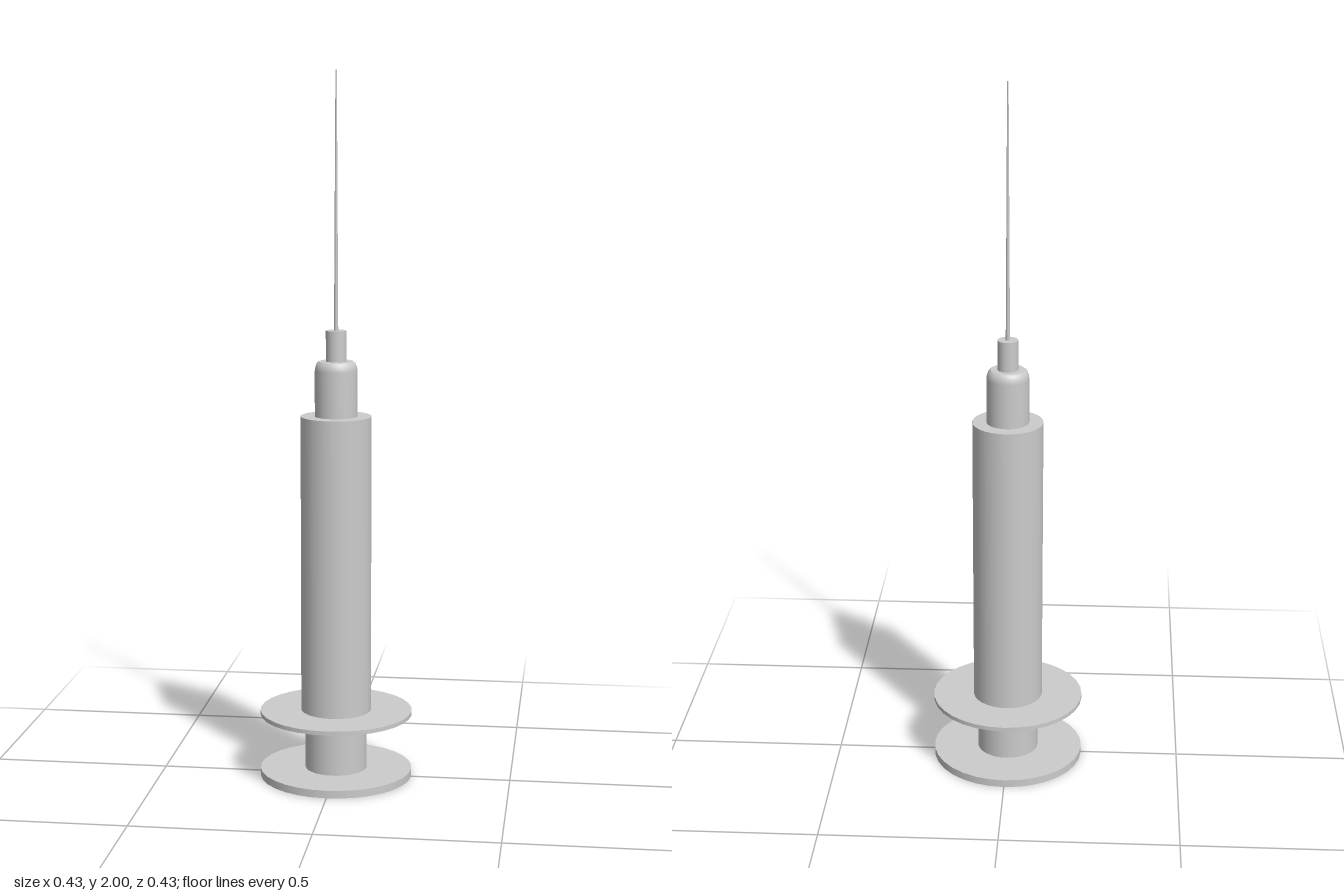
import * as THREE from 'three';

const SIDES = 32;

export function createModel() {
  const group = new THREE.Group();
  group.name = 'syringe';
  const material = new THREE.MeshStandardMaterial({ color: 0xcccccc });

  // Upright round part between two heights, optionally tapered
  function addRound(name, y0, y1, rBottom, rTop = rBottom, sides = SIDES) {
    const geometry = new THREE.CylinderGeometry(rTop, rBottom, y1 - y0, sides);
    const mesh = new THREE.Mesh(geometry, material);
    mesh.name = name;
    mesh.position.y = (y0 + y1) / 2;
    group.add(mesh);
  }

  // Plunger
  addRound('thumbRest', 0, 0.022, 0.217);
  addRound('plungerRod', 0.022, 0.181, 0.088);

  // Barrel with its finger flange
  addRound('fingerFlange', 0.181, 0.193, 0.217);
  addRound('barrel', 0.193, 1.043, 0.1);

  // Needle hub with a rounded shoulder
  const profile = [[0.06, 1.043], [0.06, 1.172], [0.058, 1.183], [0.054, 1.193], [0.048, 1.198]]
    .map(([r, y]) => new THREE.Vector2(r, y));
  const hub = new THREE.Mesh(new THREE.LatheGeometry(profile, SIDES), material);
  hub.name = 'needleHub';
  group.add(hub);
  const hubTop = new THREE.Mesh(new THREE.CircleGeometry(0.048, SIDES), material);
  hubTop.name = 'needleHubTop';
  hubTop.rotation.x = -Math.PI / 2;
  hubTop.position.y = 1.198;
  group.add(hubTop);

  // Neck and tapering needle
  addRound('neck', 1.198, 1.284, 0.029);
  addRound('needle', 1.284, 2, 0.006, 0.002, 16);

  return group;
}
